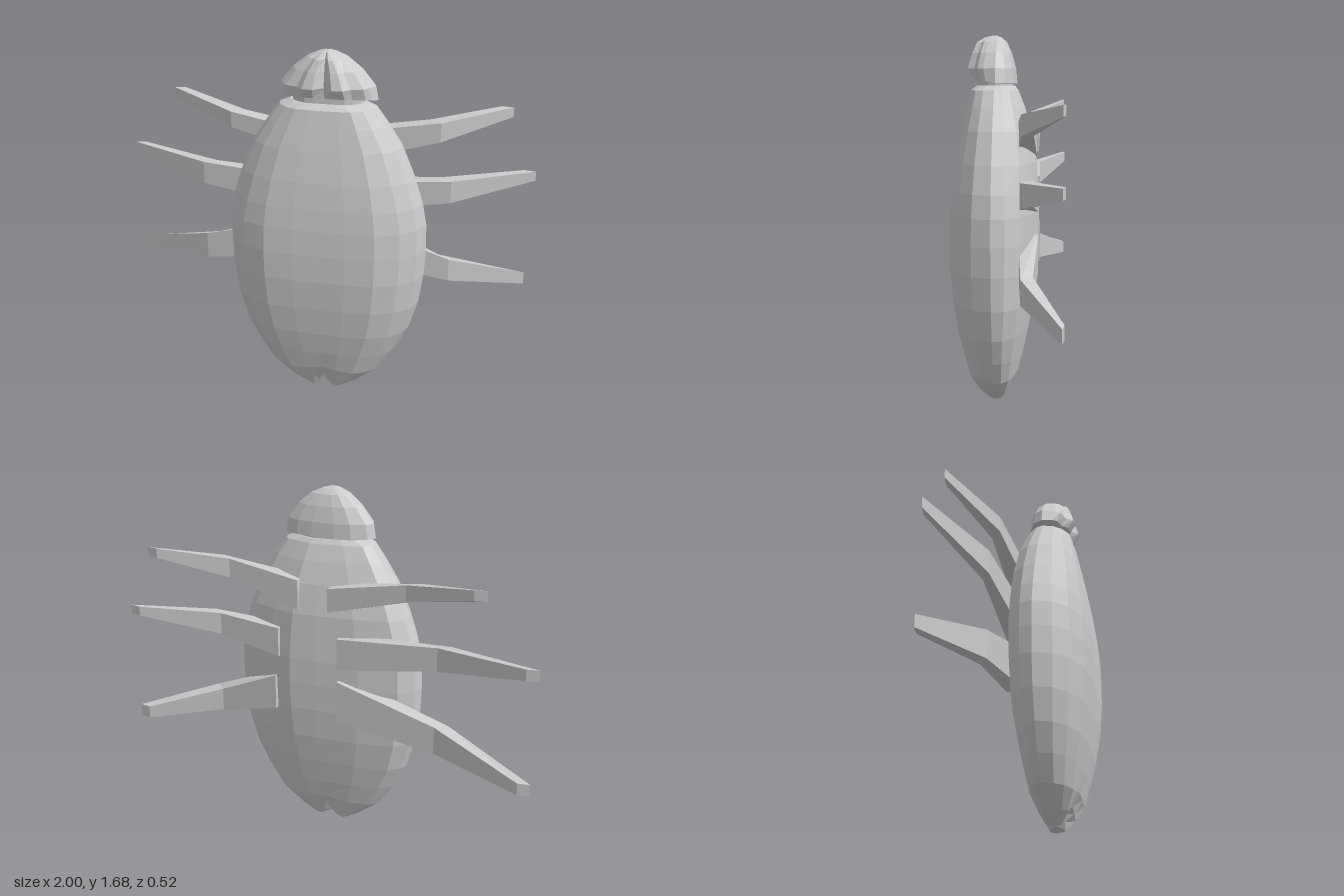
import * as THREE from 'three';

const CX = 0.068; // the body axis sits slightly to the left of centre

// Skin closed rings of [x, y, z] points; rings run counter-clockwise seen from the last one
function loft(name, rings, material) {
  const n = rings[0].length, pos = rings.flat(2), idx = [];
  for (let i = 0; i < rings.length - 1; i++) {
    for (let j = 0; j < n; j++) {
      const a = i * n + j, b = i * n + (j + 1) % n;
      idx.push(a, b, b + n, a, b + n, a + n);
    }
  }
  // end caps, fanned from the middle of each end ring
  const addCap = (ring, base, top) => {
    const c = [0, 1, 2].map(k => ring.reduce((s, p) => s + p[k], 0) / n);
    const m = pos.length / 3;
    pos.push(...c);
    for (let j = 0; j < n; j++) {
      const a = base + j, b = base + (j + 1) % n;
      if (top) idx.push(m, a, b); else idx.push(m, b, a);
    }
  };
  addCap(rings[0], 0, false);
  addCap(rings[rings.length - 1], (rings.length - 1) * n, true);
  const g = new THREE.BufferGeometry();
  g.setAttribute('position', new THREE.Float32BufferAttribute(pos, 3));
  g.setIndex(idx);
  g.computeVertexNormals();
  const mesh = new THREE.Mesh(g, material);
  mesh.name = name;
  return mesh;
}

// Scale a unit section to half width w and to the front and back depths
const ring = (section, [y, w, front, back], zMid) => section.map(([u, v]) =>
  [CX + u * w, y, zMid + (v > 0 ? v * (front - zMid) : v * (zMid - back))]);

export function createModel() {
  const group = new THREE.Group();
  const mat = new THREE.MeshStandardMaterial({ color: 0xcccccc, flatShading: true });

  // Body: flat belly side at the front, off-centre ridge along the back
  const bodySection = [
    [0, 1], [0.26, 1], [0.55, 0.96], [0.78, 0.73], [0.93, 0.42], [1, 0],
    [0.97, -0.3], [0.84, -0.62], [0.55, -0.84], [0.27, -1], [0, -0.95],
    [-0.45, -0.84], [-0.84, -0.62], [-0.97, -0.3], [-1, 0],
    [-0.93, 0.42], [-0.78, 0.73], [-0.55, 0.96], [-0.26, 1],
  ];
  // y, half width, front z, back z
  const bodyLevels = [
    [0, 0.09, 0.1, 0.02], [0.05, 0.17, 0.14, -0.01], [0.13, 0.27, 0.175, -0.045],
    [0.24, 0.34, 0.2, -0.07], [0.36, 0.4, 0.225, -0.095], [0.5, 0.44, 0.245, -0.12],
    [0.65, 0.46, 0.257, -0.135], [0.78, 0.465, 0.258, -0.14], [0.9, 0.46, 0.254, -0.14],
    [1.0, 0.44, 0.245, -0.135], [1.12, 0.4, 0.23, -0.13], [1.26, 0.34, 0.205, -0.105],
    [1.36, 0.275, 0.185, -0.075], [1.435, 0.22, 0.17, -0.045], [1.455, 0.17, 0.145, -0.03],
  ];
  const bodyRings = bodyLevels.map(l => ring(bodySection, l, 0.055));
  // V-shaped notch at the tail
  const notch = [0.06, 0.045, 0.02];
  notch.forEach((h, i) => bodyRings[i].forEach(p => {
    p[1] += h * Math.max(0, 1 - Math.abs(p[0] - CX) / (0.05 + 0.04 * i));
  }));
  group.add(loft('body', bodyRings, mat));

  // Neck joining the body and head
  group.add(loft('neck', [[1.44, 0.16, 0.13, -0.02], [1.49, 0.16, 0.13, -0.02]]
    .map(l => ring(bodySection, l, 0.055)), mat));

  // Head: rounded at the back, fluted at the front with a central groove
  const headSection = [
    [0, 0.72], [0.2, 1], [0.42, 0.98], [0.55, 0.74], [0.8, 0.6], [0.9, 0.4], [1, 0],
    [0.9, -0.5], [0.6, -0.88], [0.25, -1],
    [-0.25, -1], [-0.6, -0.88], [-0.9, -0.5], [-1, 0],
    [-0.9, 0.4], [-0.8, 0.6], [-0.55, 0.74], [-0.42, 0.98], [-0.2, 1],
  ];
  const headLevels = [
    [1.463, 0.18, 0.13, -0.02], [1.465, 0.225, 0.16, -0.035], [1.53, 0.212, 0.185, -0.03],
    [1.6, 0.155, 0.165, -0.012], [1.65, 0.09, 0.145, 0.01], [1.672, 0.04, 0.11, 0.035],
    [1.68, 0.01, 0.075, 0.06],
  ];
  const headRings = headLevels.map(l => ring(headSection, l, 0.05));
  // lift the front of the lower rim
  headRings.slice(0, 2).forEach(r => r.forEach(p => { p[1] += 0.2 * Math.max(0, p[2] - 0.05); }));
  group.add(loft('head', headRings, mat));

  // Legs: stations root, knee, tip as [x, low y, high y, front z, back z]
  const legs = {
    leftFrontLeg: [[0.15, 1.14, 1.28, -0.04, -0.13], [0.56, 1.25, 1.34, -0.075, -0.125], [0.87, 1.34, 1.385, -0.245, -0.255]],
    leftMiddleLeg: [[0.25, 0.9, 1.04, -0.05, -0.14], [0.62, 0.96, 1.065, -0.075, -0.125], [0.995, 1.04, 1.085, -0.245, -0.255]],
    leftHindLeg: [[0.27, 0.63, 0.8, -0.05, -0.14], [0.63, 0.56, 0.67, -0.075, -0.125], [0.985, 0.5, 0.56, -0.245, -0.255]],
    rightFrontLeg: [[0, 1.15, 1.26, -0.04, -0.135], [-0.43, 1.25, 1.325, -0.085, -0.135], [-0.765, 1.335, 1.38, -0.245, -0.255]],
    rightMiddleLeg: [[-0.05, 0.88, 1.03, -0.05, -0.14], [-0.58, 0.95, 1.06, -0.09, -0.13], [-1, 1.03, 1.08, -0.25, -0.26]],
    rightHindLeg: [[-0.05, 0.62, 0.82, -0.05, -0.14], [-0.58, 0.55, 0.68, -0.09, -0.13], [-1, 0.505, 0.56, -0.25, -0.26]],
  };
  for (const [name, stations] of Object.entries(legs)) {
    const side = stations[2][0] > 0 ? 1 : -1;
    const rings = stations.map(([x, lo, hi, zf, zb], i) => {
      const xb = i ? x - side * 0.055 : x; // knee and tip are cut at a slant
      const r = [[x, lo, zf], [xb, lo, zb], [xb, hi, zb], [x, hi, zf]];
      return side > 0 ? r : r.reverse();
    });
    group.add(loft(name, rings, mat));
  }
  return group;
}
